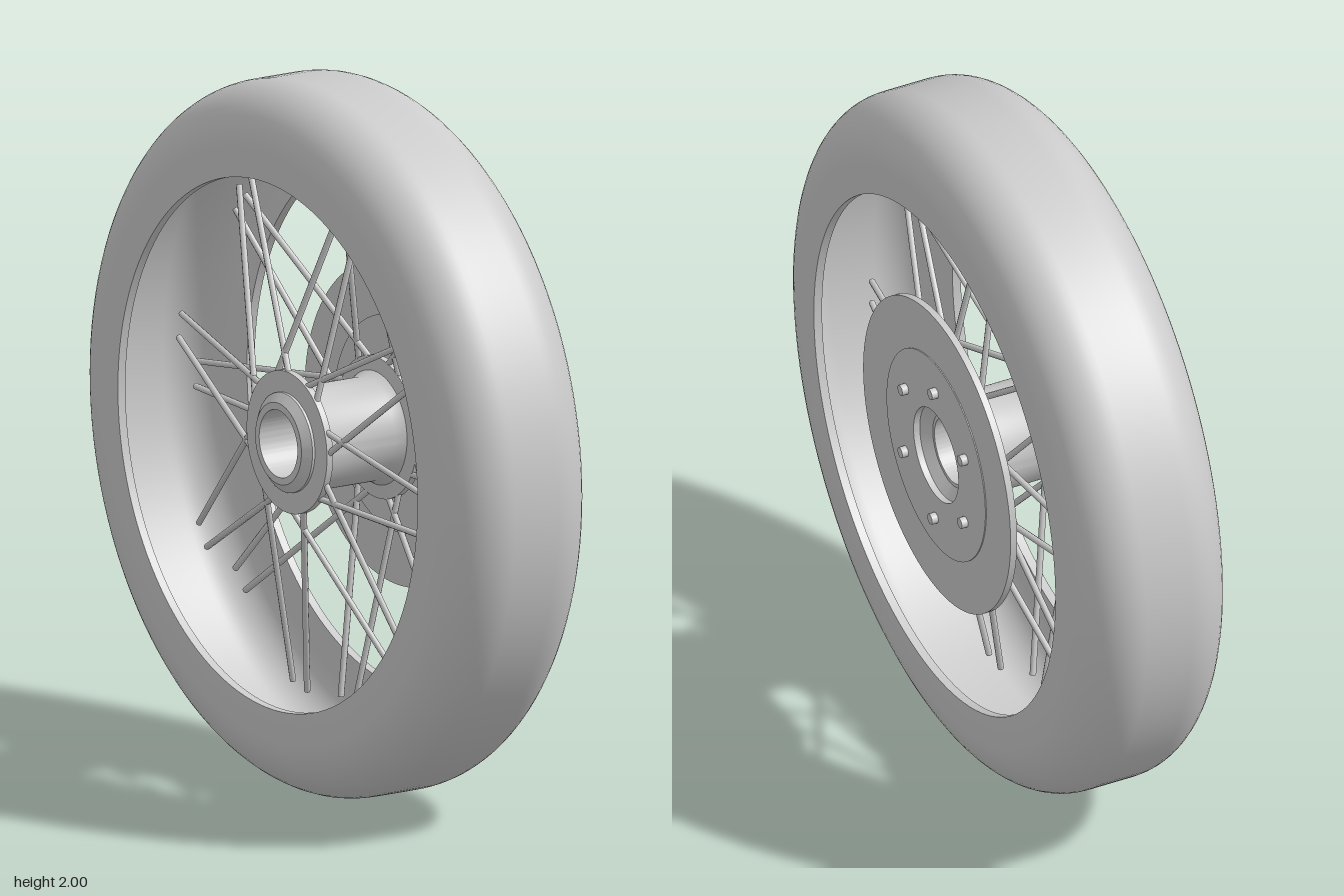
import * as THREE from 'three';
import { toCreasedNormals } from 'three/addons/utils/BufferGeometryUtils.js';

const material = new THREE.MeshStandardMaterial({ color: 0xcccccc, side: THREE.DoubleSide });
const CENTER_Y = 1;

function addMesh(parent, geometry, name) {
  const mesh = new THREE.Mesh(geometry, material);
  mesh.name = name;
  parent.add(mesh);
  return mesh;
}

// Revolve a closed outline of [radius, x] points about the x axle
function revolve(points, segments = 96) {
  const pts = points.map(([r, x]) => new THREE.Vector2(r, x));
  pts.push(pts[0].clone());
  const g = new THREE.LatheGeometry(pts, segments);
  g.rotateZ(-Math.PI / 2);
  return toCreasedNormals(g, 0.6);
}

// Point on the wheel: angle in degrees, clockwise from the top as seen from +x
function polar(radius, degrees, x) {
  const a = THREE.MathUtils.degToRad(degrees);
  return new THREE.Vector3(x, radius * Math.cos(a), -radius * Math.sin(a));
}

// Straight round rod between two points
function rod(a, b, radius) {
  const dir = b.clone().sub(a);
  const g = new THREE.CylinderGeometry(radius, radius, dir.length(), 8);
  g.applyQuaternion(new THREE.Quaternion().setFromUnitVectors(
    new THREE.Vector3(0, 1, 0), dir.clone().normalize()));
  const mid = a.clone().add(b).multiplyScalar(0.5);
  return g.translate(mid.x, mid.y, mid.z);
}

// Half of the tyre section, sidewall to tread, rounded by a quarter ellipse
function tyreCurve(halfWidth, sideRadius, treadHalf, outerRadius) {
  const pts = [[0.745, halfWidth]];
  for (let i = 0; i <= 12; i++) {
    const t = (i / 12) * Math.PI / 2;
    pts.push([
      sideRadius + (outerRadius - sideRadius) * Math.sin(t),
      treadHalf + (halfWidth - treadHalf) * Math.cos(t),
    ]);
  }
  return pts;
}

function mirrored(points) {
  return [...points, ...points.map(([r, x]) => [r, -x]).reverse()];
}

export function createModel() {
  const wheel = new THREE.Group();
  wheel.name = 'wheel';
  wheel.position.y = CENTER_Y;

  // Hollow tyre, open toward the hub
  const outer = mirrored(tyreCurve(0.225, 0.83, 0.07, 1));
  const inner = mirrored(tyreCurve(0.2, 0.84, 0.07, 0.97)).reverse();
  const tyre = addMesh(wheel, revolve([...outer, ...inner], 128), 'tyre');
  tyre.position.x = -0.01;

  // Hub barrel with a flange at each end and a through bore
  addMesh(wheel, revolve([
    [0.095, -0.2], [0.115, -0.2], [0.14, -0.18], [0.14, -0.172],
    [0.2, -0.172], [0.2, -0.152], [0.16, -0.147], [0.145, -0.12],
    [0.145, 0.09], [0.16, 0.118], [0.2, 0.123], [0.2, 0.143],
    [0.16, 0.143], [0.16, 0.192], [0.138, 0.192], [0.106, 0.168], [0.095, 0.168],
  ]), 'hub');

  // Brake disc and its slightly raised carrier
  addMesh(wheel, revolve([[0.29, 0.188], [0.455, 0.188], [0.455, 0.208], [0.29, 0.208]]), 'brakeDisc');
  addMesh(wheel, revolve([[0.138, 0.185], [0.305, 0.185], [0.305, 0.211], [0.138, 0.211]]), 'discCarrier');

  // Six bolts on the carrier
  const bolts = new THREE.Group();
  bolts.name = 'discBolts';
  for (let i = 0; i < 6; i++) {
    addMesh(bolts, rod(polar(0.212, i * 60, 0.2), polar(0.212, i * 60, 0.23), 0.016), 'discBolt');
  }
  wheel.add(bolts);

  // Eight pairs of spokes from each flange, the two sides offset a quarter step
  const spokes = new THREE.Group();
  spokes.name = 'spokes';
  const sides = [
    { flangeX: 0.133, tipX: 0.03, offset: 0 },
    { flangeX: -0.162, tipX: -0.03, offset: -11.25 },
  ];
  for (const { flangeX, tipX, offset } of sides) {
    for (let i = 0; i < 8; i++) {
      for (const s of [-1, 1]) {
        const base = i * 45 + offset;
        addMesh(spokes, rod(
          polar(0.185, base + s * 33, flangeX),
          polar(0.76, base + s * 2.7, tipX), 0.009), 'spoke');
      }
    }
  }
  wheel.add(spokes);

  const model = new THREE.Group();
  model.name = 'spokedWheel';
  model.add(wheel);
  return model;
}
